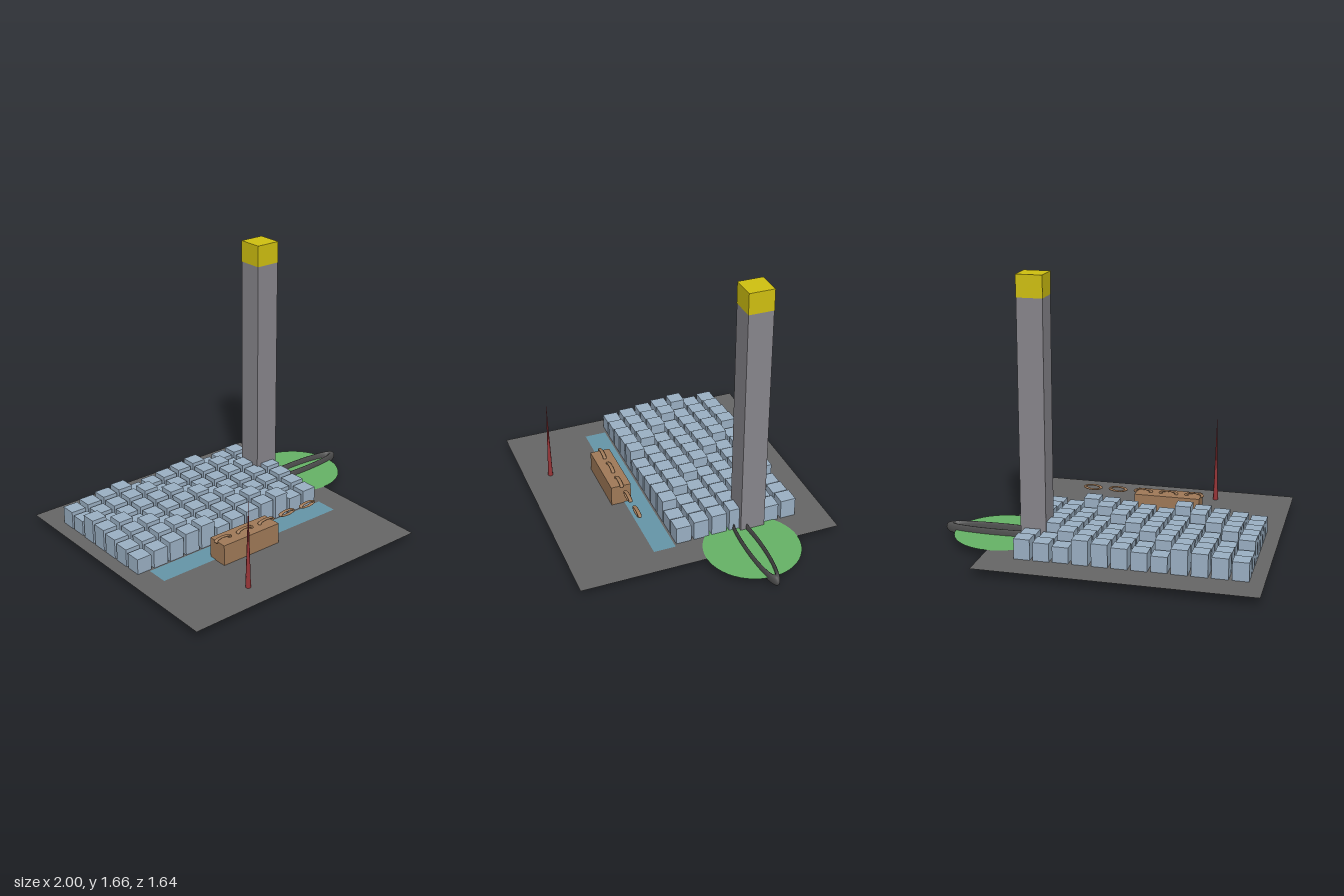
import * as THREE from 'three';

const paint = (name, color, side = THREE.FrontSide) => {
  const m = new THREE.MeshStandardMaterial({ color, side });
  m.name = name;
  return m;
};

export function createModel() {
  const model = new THREE.Group();
  model.name = 'cityBlock';
  const mats = {
    ground: paint('asphalt grey', 0x666666, THREE.DoubleSide),
    block: paint('pale blue', 0x9bb0c4),
    tower: paint('tower grey', 0x88868c),
    cap: paint('yellow', 0xd0c010),
    lawn: paint('green', 0x66b266, THREE.DoubleSide),
    water: paint('water blue', 0x6596a8, THREE.DoubleSide),
    brown: paint('brown', 0xa07a58),
    red: paint('dark red', 0x993538),
    ring: paint('dark grey', 0x505050),
  };
  const add = (name, geometry, material, x, y, z, parent = model) => {
    const mesh = new THREE.Mesh(geometry, material);
    mesh.name = name;
    mesh.position.set(x, y, z);
    parent.add(mesh);
    return mesh;
  };
  const GROUND = 0.05;
  const flat = (geometry) => geometry.rotateX(-Math.PI / 2);

  // Ground sheet, lawn disc and water strip
  add('ground', flat(new THREE.PlaneGeometry(1.64, 1.64)), mats.ground, -0.18, GROUND, 0);
  add('lawn', flat(new THREE.CircleGeometry(0.295, 48)), mats.lawn, 0.635, GROUND + 0.004, -0.25);
  add('waterStrip', flat(new THREE.PlaneGeometry(1.31, 0.138)), mats.water, -0.185, GROUND + 0.004, 0.242);

  // Grid of blocks, centred on one level, heights repeating along the diagonals
  const blocks = new THREE.Group();
  blocks.name = 'blocks';
  model.add(blocks);
  for (let i = 0; i < 12; i++) {
    for (let j = 0; j < 7; j++) {
      const step = (i - j + 11) % 5;
      const height = 0.096 + 0.026 * step;
      add('block', new THREE.BoxGeometry(0.096, height, 0.096), mats.block,
        -0.865 + 0.1146 * i, 0.1, -0.575 + 0.1143 * j, blocks);
    }
  }

  // Tower with a yellow cap
  add('tower', new THREE.BoxGeometry(0.155, 1.48, 0.155), mats.tower, 0.393, 0.79, -0.327);
  add('towerCap', new THREE.BoxGeometry(0.157, 0.132, 0.157), mats.cap, 0.393, 1.594, -0.327);

  // Long hall and the row of flattened arch rings
  add('hall', new THREE.BoxGeometry(0.412, 0.13, 0.127), mats.brown, -0.265, 0.115, 0.329);
  for (let i = 0; i < 5; i++) {
    const arch = add('archRing', new THREE.TorusGeometry(0.05, 0.012, 8, 32), mats.brown,
      -0.429 + 0.1637 * i, 0.183, 0.327);
    arch.scale.y = 0.29;
  }

  // Thin spire
  add('spire', new THREE.ConeGeometry(0.016, 0.545, 8), mats.red, -0.511, GROUND + 0.2725, 0.655);

  // Large oval ring lying over the lawn
  const oval = add('ovalRing', flat(new THREE.TorusGeometry(0.31, 0.032, 12, 64)), mats.ring,
    0.658, 0.06, -0.25);
  oval.scale.z = 0.16;

  return model;
}
